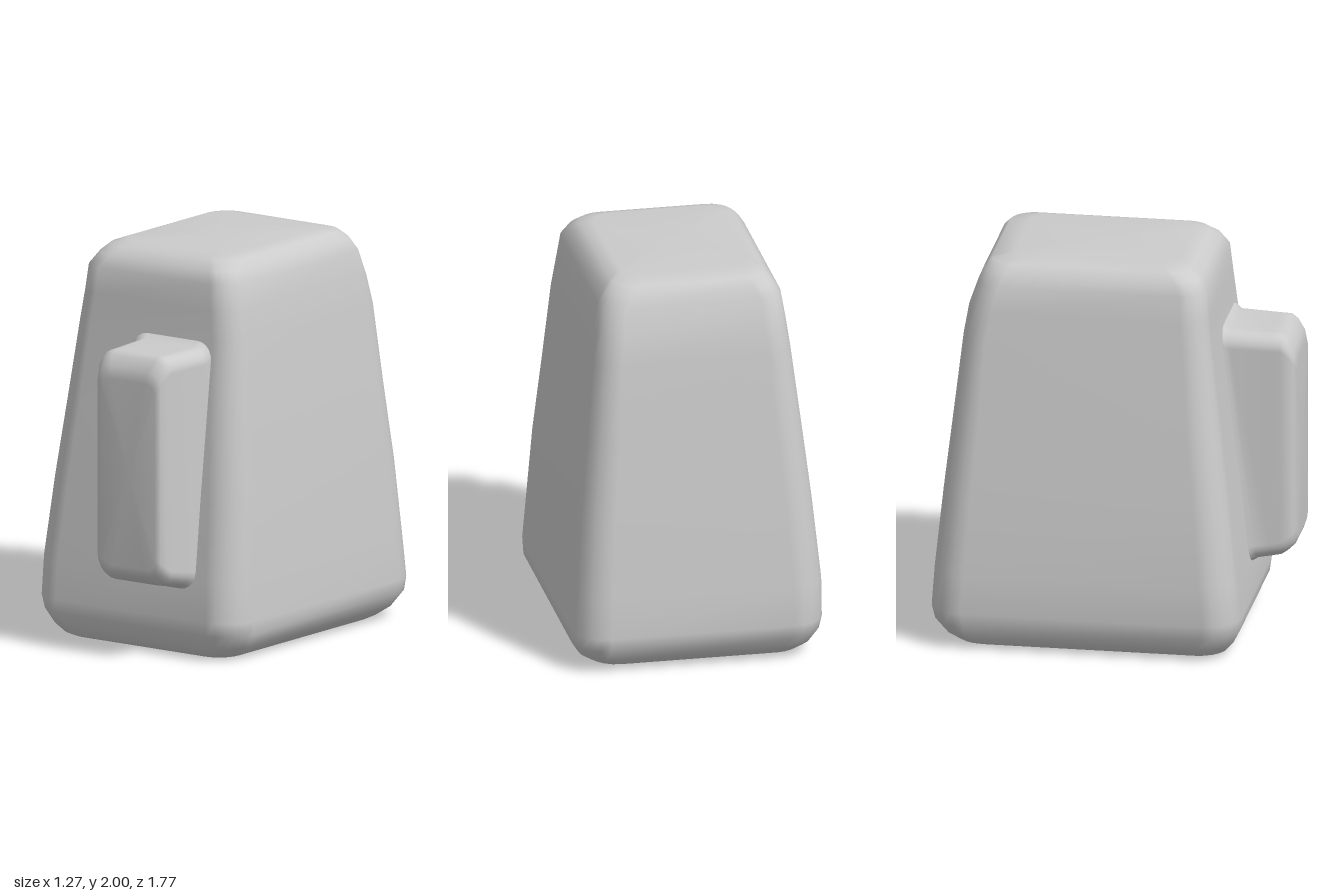
import * as THREE from 'three';

const material = new THREE.MeshStandardMaterial({ color: 0xcccccc });

// Rounded rectangle outline, counter-clockwise in (u, v)
function roundedOutline(u0, u1, v0, v1, r, steps = 5) {
  const centres = [[u1 - r, v1 - r], [u0 + r, v1 - r], [u0 + r, v0 + r], [u1 - r, v0 + r]];
  const points = [];
  centres.forEach(([cu, cv], corner) => {
    for (let i = 0; i <= steps; i++) {
      const a = (corner + i / steps) * Math.PI / 2;
      points.push([cu + r * Math.cos(a), cv + r * Math.sin(a)]);
    }
  });
  return points;
}

// Smooth closed skin over rings of [x, y, z] points, with fan caps
function loft(rings) {
  const n = rings[0].length, positions = [], index = [];
  rings.forEach(ring => ring.forEach(p => positions.push(...p)));
  for (let j = 0; j < rings.length - 1; j++) {
    for (let i = 0; i < n; i++) {
      const a = j * n + i, b = j * n + (i + 1) % n;
      index.push(a, b, b + n, a, b + n, a + n);
    }
  }
  for (const j of [0, rings.length - 1]) {
    const centre = positions.length / 3;
    for (let k = 0; k < 3; k++) positions.push(rings[j].reduce((s, p) => s + p[k], 0) / n);
    for (let i = 0; i < n; i++) {
      const a = j * n + i, b = j * n + (i + 1) % n;
      index.push(centre, ...(j ? [a, b] : [b, a]));
    }
  }
  const geometry = new THREE.BufferGeometry();
  geometry.setAttribute('position', new THREE.Float32BufferAttribute(positions, 3));
  geometry.setIndex(index);
  geometry.computeVertexNormals();
  return geometry;
}

function addPart(group, name, geometry) {
  const mesh = new THREE.Mesh(geometry, material);
  mesh.name = name;
  group.add(mesh);
}

export function createModel() {
  const group = new THREE.Group();
  group.name = 'handledBlock';

  // Tapered body: y, xMin, xMax, zBack, zFront, corner radius
  const bodySections = [
    [0, -0.50, 0.50, -0.72, 0.57, 0.12],
    [0.015, -0.54, 0.53, -0.76, 0.60, 0.14],
    [0.06, -0.59, 0.59, -0.82, 0.635, 0.16],
    [0.13, -0.625, 0.632, -0.87, 0.67, 0.17],
    [0.2, -0.637, 0.635, -0.885, 0.68, 0.17],
    [0.4, -0.637, 0.622, -0.87, 0.66, 0.17],
    [0.8, -0.597, 0.595, -0.83, 0.615, 0.16],
    [1.2, -0.55, 0.555, -0.785, 0.565, 0.15],
    [1.6, -0.50, 0.515, -0.74, 0.515, 0.13],
    [1.75, -0.48, 0.492, -0.715, 0.50, 0.13],
    [1.88, -0.462, 0.47, -0.67, 0.487, 0.12],
    [1.94, -0.425, 0.435, -0.645, 0.45, 0.12],
    [1.98, -0.39, 0.395, -0.61, 0.40, 0.12],
    [2, -0.33, 0.33, -0.50, 0.33, 0.10],
  ];
  addPart(group, 'body', loft(bodySections.map(([y, x0, x1, z0, z1, r]) =>
    roundedOutline(z0, z1, x0, x1, r).map(([z, x]) => [x, y, z]))));

  // Upright handle: xMin, xMax, yMin, yMax, corner radius, depth; the first rings lean with the body
  const bodyFront = y => 0.71 - 0.121 * y;
  const handleSections = [
    [-0.115, 0.395, 0.345, 1.60, 0.09, y => bodyFront(y) - 0.03],
    [-0.105, 0.385, 0.355, 1.59, 0.09, y => bodyFront(y) + 0.003],
    [-0.09, 0.37, 0.37, 1.565, 0.08, y => bodyFront(y) + 0.03],
    [-0.083, 0.355, 0.38, 1.56, 0.08, () => 0.76],
    [-0.08, 0.35, 0.39, 1.56, 0.08, () => 0.81],
    [-0.077, 0.345, 0.41, 1.54, 0.08, () => 0.84],
    [-0.06, 0.33, 0.44, 1.49, 0.08, () => 0.875],
    [-0.02, 0.305, 0.48, 1.43, 0.06, () => 0.89],
  ];
  addPart(group, 'handle', loft(handleSections.map(([x0, x1, y0, y1, r, depth]) =>
    roundedOutline(x0, x1, y0, y1, r).map(([x, y]) => [x, y, depth(y)]))));

  return group;
}
